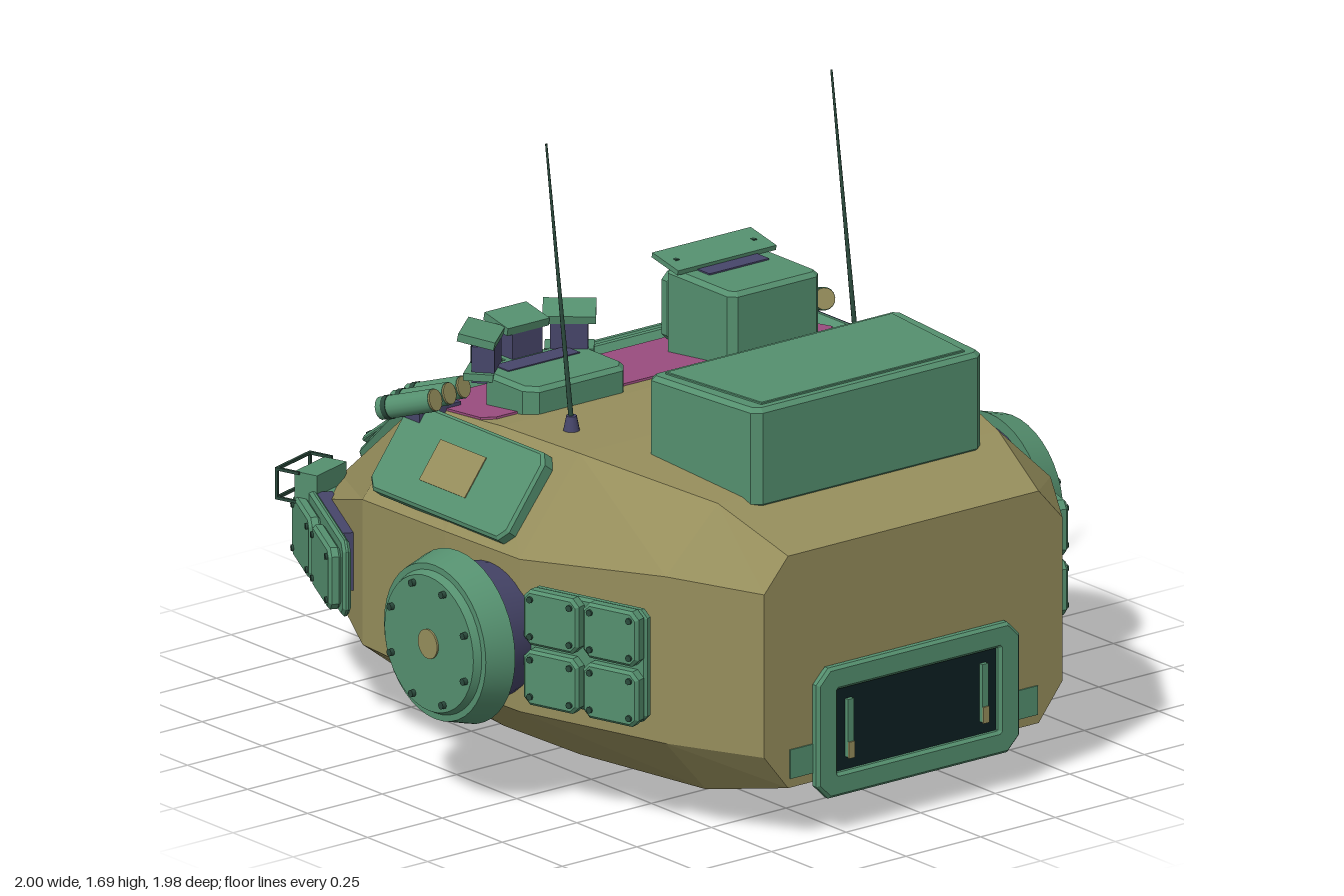
import * as THREE from 'three';

const mat = (name, color) => Object.assign(new THREE.MeshStandardMaterial({ color }), { name });
const green = mat('armour green', 0x55906f);
const tan = mat('camouflage tan', 0x968e5c);
const navy = mat('camouflage navy', 0x47466a);
const magenta = mat('camouflage magenta', 0x9c4d80);
const dark = mat('opening dark', 0x0d2023);
const deep = mat('fitting dark green', 0x2b4a3c);

const V = (x, y, z) => new THREE.Vector3(x, y, z);

function add(parent, name, geo, material, x = 0, y = 0, z = 0) {
  const m = new THREE.Mesh(geo, material);
  m.name = name;
  m.position.set(x, y, z);
  parent.add(m);
  return m;
}
const box = (p, name, m, w, h, d, x, y, z) => add(p, name, new THREE.BoxGeometry(w, h, d), m, x, y, z);
const cyl = (p, name, m, r1, r2, h, x, y, z, n = 32) => add(p, name, new THREE.CylinderGeometry(r1, r2, h, n), m, x, y, z);

// Group whose local z points along a surface normal
function frame(parent, name, pos, normal, up = V(0, 1, 0)) {
  const g = new THREE.Group();
  const z = normal.clone().normalize();
  const x = up.clone().cross(z).normalize();
  g.quaternion.setFromRotationMatrix(new THREE.Matrix4().makeBasis(x, z.clone().cross(x), z));
  g.position.copy(pos);
  g.name = name;
  parent.add(g);
  return g;
}

// Outline of a rectangle with cut corners
const cut = (w, h, c, x = 0, y = 0) => [[w - c, -h], [w, c - h], [w, h - c], [w - c, h], [c - w, h], [-w, h - c], [-w, c - h], [c - w, -h]]
  .map(([a, b]) => [a + x, b + y]);

function plate(p, name, m, pts, depth, z = 0, bevel = 0.008, hole = null) {
  const s = new THREE.Shape(pts.map(([a, b]) => new THREE.Vector2(a, b)));
  if (hole) s.holes.push(new THREE.Path(hole.map(([a, b]) => new THREE.Vector2(a, b))));
  const geo = new THREE.ExtrudeGeometry(s, {
    depth: depth - 2 * bevel, bevelEnabled: bevel > 0, bevelSize: bevel, bevelThickness: bevel, bevelOffset: -bevel, bevelSegments: 1,
  });
  return add(p, name, geo, m, 0, 0, z + bevel);
}

// Bolted block, w and h are half sizes
function brick(p, name, x, y, w, h, depth, z = 0) {
  plate(p, name, green, cut(w, h, 0.02, x, y), depth, z);
  for (const i of [-1, 1]) for (const j of [-1, 1]) {
    cyl(p, 'bolt', deep, 0.009, 0.009, 0.012, x + i * (w - 0.025), y + j * (h - 0.025), z + depth, 8).rotation.x = Math.PI / 2;
  }
}

function hullGeometry() {
  // z, top y, top x, shoulder y, side x, low y, bottom x, bottom y
  const rows = [
    [-0.89, 0.52, 0.42, 0.47, 0.5, 0.31, 0.44, 0.24],
    [-0.38, 0.885, 0.57, 0.66, 0.76, 0.26, 0.56, 0.11],
    [0, 0.93, 0.6, 0.68, 0.79, 0.26, 0.59, 0.1],
    [0.3, 0.93, 0.58, 0.68, 0.78, 0.26, 0.58, 0.1],
    [0.74, 0.885, 0.47, 0.72, 0.645, 0.26, 0.51, 0.105],
    [0.97, 0.79, 0.42, 0.7, 0.5, 0.25, 0.42, 0.15],
  ];
  const pos = [], idx = [], n = 8;
  for (const [z, ty, tx, sy, sx, ly, bx, by] of rows) {
    for (const [x, y] of [[tx, ty], [-tx, ty], [-sx, sy], [-sx, ly], [-bx, by], [bx, by], [sx, ly], [sx, sy]]) pos.push(x, y, z);
  }
  for (let i = 0; i < rows.length - 1; i++) for (let j = 0; j < n; j++) {
    const a = i * n + j, b = i * n + (j + 1) % n;
    idx.push(a, b, b + n, a, b + n, a + n);
  }
  const f = (rows.length - 1) * n;
  for (let k = 1; k < n - 1; k++) idx.push(f, f + k, f + k + 1, 0, k + 1, k);
  const g = new THREE.BufferGeometry();
  g.setAttribute('position', new THREE.Float32BufferAttribute(pos, 3));
  g.setIndex(idx);
  const flat = g.toNonIndexed();
  flat.computeVertexNormals();
  return flat;
}

function sideParts(root, s) {
  const tag = s > 0 ? 'left' : 'right';
  // Side drum on a tapered mount
  const drum = new THREE.Group();
  drum.name = tag + 'Drum';
  drum.position.set(0, 0.46, 0.18);
  drum.rotation.z = -s * Math.PI / 2;
  root.add(drum);
  cyl(drum, 'drumMount', navy, 0.205, 0.165, 0.18, 0, 0.8, 0);
  cyl(drum, 'drumFlange', green, 0.212, 0.235, 0.08, 0, 0.928, 0, 40);
  cyl(drum, 'drumCap', green, 0.185, 0.195, 0.02, 0, 0.978, 0, 40);
  cyl(drum, 'drumSpot', tan, 0.04, 0.04, 0.006, 0, 0.99, 0);
  for (let i = 0; i < 8; i++) {
    const a = (i + 0.5) * Math.PI / 4;
    cyl(drum, 'drumBolt', deep, 0.01, 0.01, 0.014, 0.165 * Math.cos(a), 0.993, 0.165 * Math.sin(a), 8);
  }
  if (s < 0) add(drum, 'mountPatch', new THREE.CylinderGeometry(0.209, 0.202, 0.025, 16, 1, true, -0.6, 1.9), magenta, 0, 0.877, 0);

  // Sloped roof plate, outline given as z and height along the slope
  const roof = frame(root, tag + 'RoofPlate', V(s * 0.695, 0.805, 0), V(s * 0.8, 0.6, 0));
  const along = pts => pts.map(([z, v]) => [-s * z, v]);
  plate(roof, 'roofPlate', green, along([[-0.33, -0.1], [-0.3, -0.13], [0.22, -0.13], [0.245, -0.1], [0.245, 0.1], [0.22, 0.13], [-0.3, 0.13], [-0.33, 0.1]]), 0.05, -0.022);
  if (s > 0) {
    plate(roof, 'navyPatch', navy, along([[-0.31, 0.01], [-0.06, 0.01], [-0.06, 0.12], [-0.31, 0.12]]), 0.004, 0.027, 0);
    plate(roof, 'tanPatch', tan, along([[-0.2, -0.02], [-0.03, -0.02], [-0.01, 0.03], [-0.03, 0.12], [-0.06, 0.12], [-0.06, 0.01], [-0.2, 0.01]]), 0.004, 0.027, 0);
  } else plate(roof, 'tanPatch', tan, along([[-0.15, -0.06], [0.04, -0.06], [0.04, 0.06], [-0.15, 0.06]]), 0.004, 0.027, 0);

  // Front cheek blocks, two by two
  const cheek = frame(root, tag + 'CheekBlocks', V(s * 0.725, 0.47, 0.53), V(s * 0.44, 0, 0.135));
  plate(cheek, 'cheekBacking', green, cut(0.185, 0.155, 0.02), 0.03, -0.01);
  for (const i of [-1, 1]) for (const j of [-1, 1]) brick(cheek, 'cheekBlock', i * 0.094, j * 0.083, 0.087, 0.076, 0.04, 0.015);

  // Rear quarter blocks
  const quarter = frame(root, tag + 'QuarterBlocks', V(s * 0.63, 0.43, -0.635), V(s * 0.51, 0, -0.26));
  box(quarter, 'quarterMount', navy, 0.34, 0.16, 0.05, 0, 0.02, 0.01);
  plate(quarter, 'quarterBacking', green, cut(0.265, 0.105, 0.025), 0.022, 0.025);
  for (const i of [-1, 1]) brick(quarter, 'quarterBlock', i * 0.125, -0.005, 0.115, 0.085, 0.035, 0.045);

  // Caged lamp at the rear corner
  const lamp = frame(root, tag + 'RearLamp', V(s * 0.53, 0.54, -0.84), V(s * 0.3, 0, -0.95));
  box(lamp, 'lampBracket', green, 0.05, 0.05, 0.1, 0, -0.04, -0.03);
  box(lamp, 'lampHousing', green, 0.14, 0.08, 0.07, 0, 0, 0);
  box(lamp, 'lampFace', dark, 0.12, 0.065, 0.006, 0, 0, 0.037);
  for (const i of [-1, 1]) {
    cyl(lamp, 'lampLens', tan, 0.022, 0.022, 0.008, i * 0.03, 0, 0.041, 16).rotation.x = Math.PI / 2;
    box(lamp, 'guardRail', deep, 0.16, 0.008, 0.008, 0, i * 0.04, 0.085);
    box(lamp, 'guardPost', deep, 0.008, 0.088, 0.008, i * 0.078, 0, 0.085);
    for (const j of [-1, 1]) box(lamp, 'guardArm', deep, 0.008, 0.008, 0.07, i * 0.078, j * 0.04, 0.05);
  }

  // Three smoke tubes with tan forward ends
  for (let i = 0; i < 3; i++) {
    const tube = frame(root, tag + 'SmokeTube', V(s * (0.68 - i * 0.062), 0.93, -0.29 - i * 0.018), V(-s * 0.33, 0.32, 0.95));
    cyl(tube, 'tubeBody', green, 0.031, 0.031, 0.17, 0, 0, 0, 16).rotation.x = Math.PI / 2;
    cyl(tube, 'tubeRim', deep, 0.033, 0.033, 0.015, 0, 0, -0.06, 16).rotation.x = Math.PI / 2;
    cyl(tube, 'tubeEnd', tan, 0.029, 0.029, 0.006, 0, 0, 0.087, 16).rotation.x = Math.PI / 2;
  }
  box(root, tag + 'TubeMount', navy, 0.14, 0.05, 0.07, s * 0.6, 0.89, -0.29);

  // Raked whip antenna
  cyl(root, tag + 'AntennaBase', navy, 0.014, 0.024, 0.05, s * 0.478, 0.945, 0.14, 12);
  const rod = cyl(root, tag + 'Antenna', deep, 0.003, 0.007, 0.75, s * 0.478, 1.32, 0.0875, 8);
  rod.rotation.x = -0.141;

  // Tow eye and lower front paint patch
  add(root, tag + 'TowEye', new THREE.TorusGeometry(0.028, 0.009, 8, 20), green, s * 0.3, 0.205, -0.8).rotation.y = Math.PI / 2;
  box(root, tag + 'FrontPatch', green, 0.08, 0.08, 0.006, s * 0.375, 0.215, 0.971);
}

export function createModel() {
  const root = new THREE.Group();
  root.name = 'turret';
  add(root, 'hull', hullGeometry(), tan);
  for (const s of [-1, 1]) sideParts(root, s);

  // Turning ring underneath
  cyl(root, 'ringNeck', green, 0.26, 0.26, 0.06, 0, 0.085, 0.16, 48);
  cyl(root, 'ringBand', tan, 0.25, 0.25, 0.03, 0, 0.05, 0.16, 48);
  cyl(root, 'ringFlange', green, 0.268, 0.268, 0.018, 0, 0.033, 0.16, 48);
  cyl(root, 'ringGroove', deep, 0.26, 0.26, 0.012, 0, 0.02, 0.16, 48);
  cyl(root, 'ringBase', green, 0.268, 0.262, 0.016, 0, 0.01, 0.16, 48);
  cyl(root, 'ringSpot', tan, 0.06, 0.06, 0.004, 0, 0.002, 0.16);

  // Front opening with its surround and handles
  const front = frame(root, 'frontOpening', V(0, 0.28, 0.965), V(0, 0, 1));
  plate(front, 'openingFrame', green, cut(0.34, 0.18, 0.04), 0.03, 0, 0.008, cut(0.27, 0.115, 0.002));
  box(front, 'openingDark', dark, 0.54, 0.23, 0.008, 0, 0, 0.009);
  for (const s of [-1, 1]) {
    box(front, 'openingHandle', green, 0.02, 0.16, 0.012, s * 0.225, 0, 0.019);
    box(front, 'handleFoot', tan, 0.02, 0.045, 0.004, s * 0.225, -0.06, 0.027);
  }

  // Large roof bin
  const up = V(0, 0, -1);
  const bin = frame(root, 'roofBin', V(0, 0.86, 0), V(0, 1, 0), up);
  plate(bin, 'binBody', green, [[-0.36, -0.79], [0.36, -0.79], [0.385, -0.77], [0.42, -0.4], [0.4, -0.38], [-0.4, -0.38], [-0.42, -0.4], [-0.385, -0.77]], 0.275, 0, 0.012);
  plate(bin, 'binLid', green, [[-0.34, -0.76], [0.34, -0.76], [0.38, -0.41], [-0.38, -0.41]], 0.008, 0.273, 0.002);

  // Painted band across the roof
  const band = frame(root, 'roofBand', V(0, 0.93, 0), V(0, 0.38, -0.045), up);
  plate(band, 'magentaBand', magenta, [[-0.56, 0.07], [0.56, 0.07], [0.59, 0.1], [0.57, 0.383], [-0.57, 0.383], [-0.59, 0.1]], 0.006, 0, 0);

  // Sloping rear deck with covers and a grille; local x runs to the right
  const deck = frame(root, 'rearDeck', V(0, 0.885, -0.38), V(0, 0.81, -0.59));
  plate(deck, 'deckPlate', green, [[-0.37, -0.585], [0.37, -0.585], [0.41, -0.53], [0.55, -0.06], [0.52, -0.015], [-0.52, -0.015], [-0.55, -0.06], [-0.41, -0.53]], 0.045, -0.005);
  brick(deck, 'deckCover', 0.335, -0.315, 0.1, 0.17, 0.02, 0.036);
  brick(deck, 'deckCover', 0.1, -0.315, 0.1, 0.17, 0.02, 0.036);
  plate(deck, 'grilleFrame', green, cut(0.225, 0.2, 0.01, -0.22, -0.31), 0.035, 0.036, 0.006, cut(0.2, 0.175, 0.002, -0.22, -0.31));
  box(deck, 'grilleBack', navy, 0.41, 0.36, 0.008, -0.22, -0.31, 0.046);
  for (let i = 0; i < 6; i++) box(deck, 'grilleSlat', deep, 0.42, 0.012, 0.02, -0.22, -0.46 + i * 0.06, 0.056);

  // Row of rear blocks
  const rear = frame(root, 'rearBlocks', V(0, 0.385, -0.885), V(0, 0, -1));
  plate(rear, 'rearBacking', green, cut(0.445, 0.12, 0.02), 0.045);
  for (let i = 0; i < 4; i++) brick(rear, 'rearBlock', -0.31 + i * 0.207, 0, 0.093, 0.095, 0.055, 0.042);

  // Boxed sight with visor and twin lenses
  const sight = frame(root, 'sight', V(0.31, 1.02, -0.265), V(0, 0, -1));
  const body = frame(root, 'sightBody', V(0.31, 0.88, 0.12), V(0, 1, 0), up);
  plate(body, 'sightHousing', green, cut(0.152, 0.143, 0.02, 0, 0.245), 0.255, 0, 0.012);
  plate(sight, 'sightBezel', green, cut(0.145, 0.095, 0.02), 0.035, -0.01, 0.006, cut(0.115, 0.07, 0.01));
  box(sight, 'sightFace', dark, 0.24, 0.15, 0.008, 0, 0, 0.01);
  for (const s of [-1, 1]) {
    add(sight, 'lensRing', new THREE.TorusGeometry(0.036, 0.008, 8, 24), green, s * 0.055, 0, 0.022);
    cyl(sight, 'lens', deep, 0.022, 0.022, 0.02, s * 0.055, 0, 0.018, 20).rotation.x = Math.PI / 2;
    box(sight, 'visorArm', deep, 0.012, 0.07, 0.02, s * 0.13, 0.105, -0.02);
  }
  box(root, 'sightVisor', green, 0.33, 0.014, 0.11, 0.31, 1.152, -0.245).rotation.x = 0.2;
  box(root, 'sightTopPatch', navy, 0.2, 0.006, 0.05, 0.31, 1.136, -0.165);

  // Crew hatch with three periscope heads
  const hatch = frame(root, 'hatch', V(-0.32, 0.87, 0.13), V(0, 1, 0), up);
  plate(hatch, 'hatchBase', green, [[-0.14, 0.145], [0.14, 0.145], [0.17, 0.18], [0.17, 0.33], [0.11, 0.39], [-0.11, 0.39], [-0.17, 0.33], [-0.17, 0.18]], 0.13, 0, 0.012);
  for (const [x, z, turn] of [[0, -0.28, 0], [-0.145, -0.245, 0.7], [0.145, -0.245, -0.7]]) {
    const head = frame(root, 'periscope', V(-0.32 + x, 1.04, z), V(-Math.sin(turn), 0, -Math.cos(turn)));
    box(head, 'periscopeStem', navy, 0.1, 0.1, 0.06, 0, -0.02, -0.01);
    box(head, 'periscopeHead', green, 0.14, 0.022, 0.1, 0, 0.05, 0.005).rotation.x = -0.2;
    box(head, 'periscopeGlass', dark, 0.085, 0.045, 0.006, 0, 0.005, 0.022);
    box(head, 'periscopeSill', green, 0.13, 0.02, 0.08, 0, -0.05, 0);
  }
  box(root, 'hatchTopPatch', navy, 0.24, 0.006, 0.06, -0.32, 1.0, -0.2);
  return root;
}
